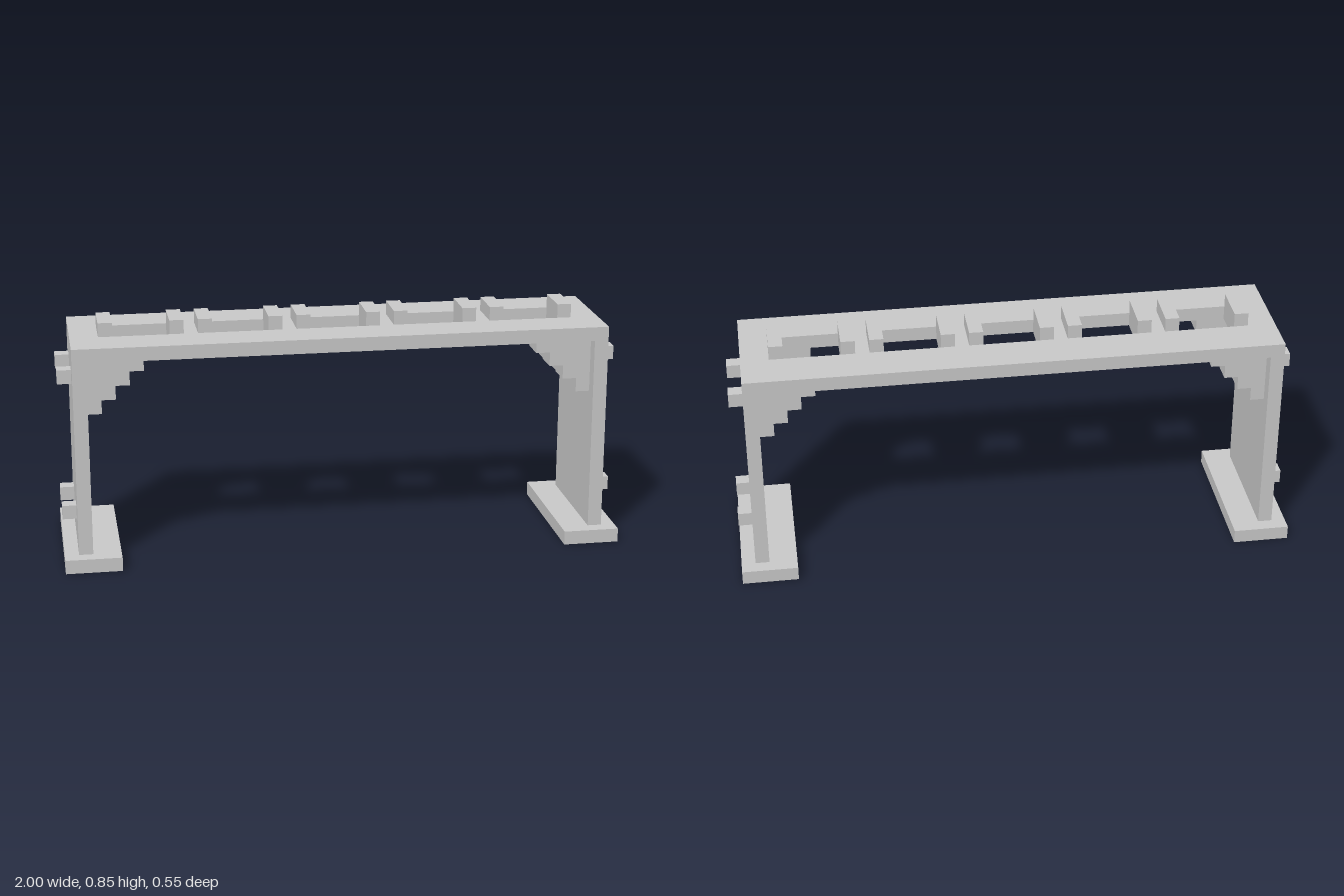
import * as THREE from 'three';

const material = new THREE.MeshStandardMaterial({ color: 0xcccccc, flatShading: true });

function addMesh(parent, name, geometry) {
  const mesh = new THREE.Mesh(geometry, material);
  mesh.name = name;
  parent.add(mesh);
  return mesh;
}

// Box given by its low and high corners
function addBox(parent, name, [x0, y0, z0], [x1, y1, z1]) {
  const mesh = addMesh(parent, name, new THREE.BoxGeometry(x1 - x0, y1 - y0, z1 - z0));
  mesh.position.set((x0 + x1) / 2, (y0 + y1) / 2, (z0 + z1) / 2);
  return mesh;
}

// Closed rectangular outline
function rectangle(PathType, x, halfWidth, halfDepth) {
  return new PathType([
    [-1, -1], [1, -1], [1, 1], [-1, 1],
  ].map(([sx, sy]) => new THREE.Vector2(x + sx * halfWidth, sy * halfDepth)));
}

// Stepped bracket profile, tucked under the deck against the +x leg
function bracketGeometry() {
  const step = 0.05;
  const points = [new THREE.Vector2(0.9, 0.75), new THREE.Vector2(0.7, 0.75)];
  for (let i = 0; i < 4; i++) {
    const y = 0.7 - i * step;
    points.push(new THREE.Vector2(0.7 + i * step, y), new THREE.Vector2(0.75 + i * step, y));
  }
  return new THREE.ExtrudeGeometry(new THREE.Shape(points), { depth: 0.1, bevelEnabled: false });
}

// One end support: foot, leg, two brackets and four pegs
function createSupport(name) {
  const support = new THREE.Group();
  support.name = name;
  addBox(support, 'foot', [0.8, 0, -0.275], [1, 0.05, 0.275]);
  addBox(support, 'leg', [0.9, 0.05, -0.225], [0.95, 0.75, 0.225]);
  const bracket = bracketGeometry();
  for (const z of [-0.175, 0.075]) addMesh(support, 'steppedBracket', bracket).position.z = z;
  for (const y of [0.15, 0.65]) {
    for (const z of [-0.125, 0.075]) {
      addBox(support, 'peg', [0.95, y, z], [1, y + 0.05, z + 0.05]);
    }
  }
  return support;
}

export function createModel() {
  const model = new THREE.Group();
  model.name = 'bridgeFrame';
  const slots = [-0.7, -0.35, 0, 0.35, 0.7];

  // Deck with five rectangular slots
  const outline = rectangle(THREE.Shape, 0, 0.95, 0.225);
  outline.holes = slots.map((x) => rectangle(THREE.Path, x, 0.1, 0.075));
  const deck = new THREE.ExtrudeGeometry(outline, { depth: 0.05, bevelEnabled: false });
  deck.rotateX(-Math.PI / 2);
  addMesh(model, 'deck', deck).position.y = 0.75;

  // Raised lips at both ends of every slot
  for (const x of slots) {
    for (const side of [-1, 1]) {
      const cx = x + side * 0.125;
      addBox(model, 'slotLip', [cx - 0.025, 0.8, -0.075], [cx + 0.025, 0.85, 0.075]);
    }
  }

  // Matching supports at the two ends
  const right = createSupport('rightSupport');
  right.rotation.y = Math.PI;
  model.add(createSupport('leftSupport'), right);
  return model;
}
